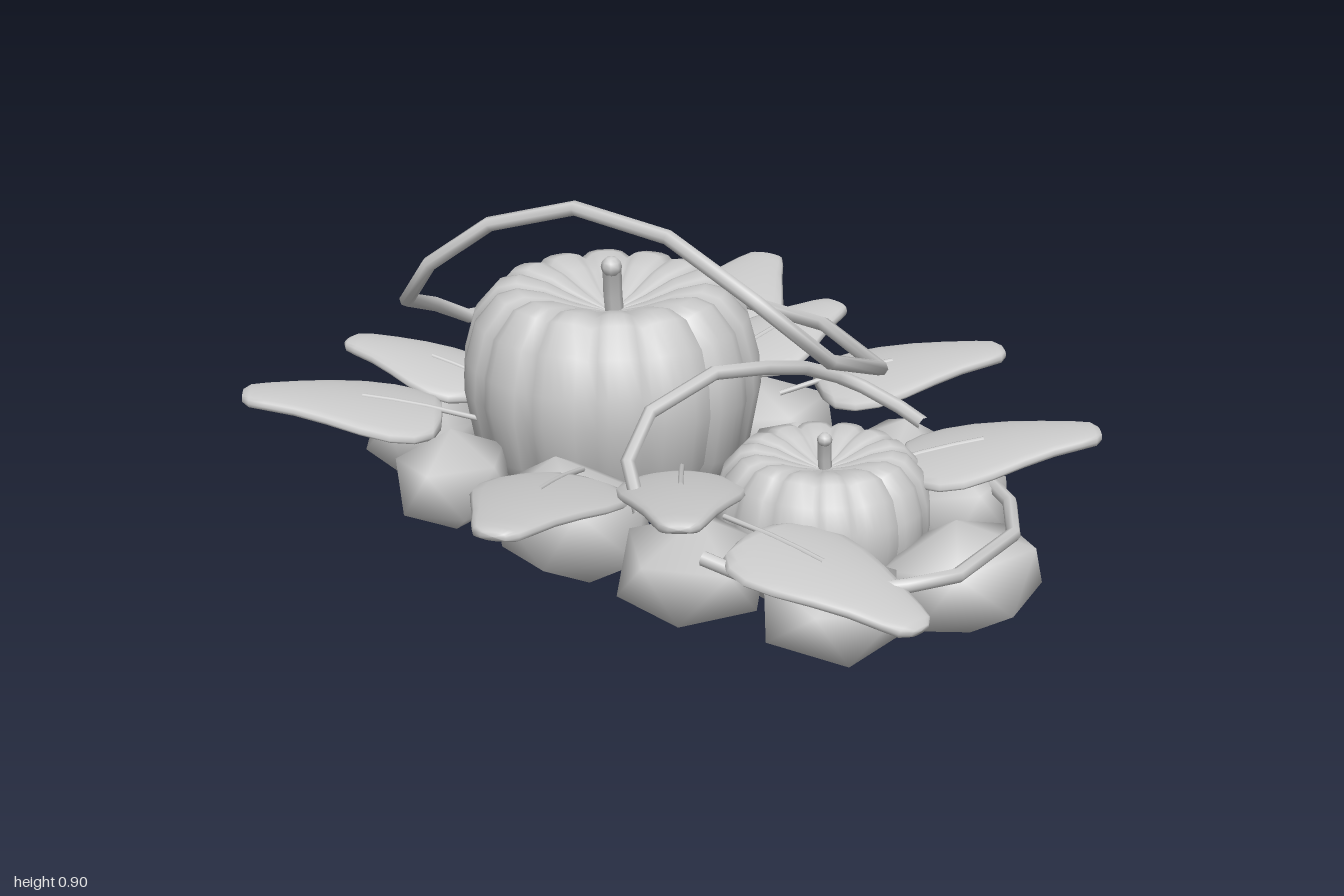
import * as THREE from 'three';
import { mergeVertices } from 'three/addons/utils/BufferGeometryUtils.js';

const mat = new THREE.MeshStandardMaterial({ color: 0xcccccc });
const V = (p) => new THREE.Vector3(...p);

function add(parent, name, geometry) {
  const mesh = new THREE.Mesh(geometry, mat);
  mesh.name = name;
  parent.add(mesh);
  return mesh;
}

// Tube with one straight span between each pair of points
function tube(points, radius, closed = false) {
  const curve = new THREE.CatmullRomCurve3(points.map(V), closed, 'catmullrom', 0.5);
  curve.getUtoTmapping = (u) => u;
  return new THREE.TubeGeometry(curve, points.length - (closed ? 0 : 1), radius, 7, closed);
}

// Ribbed pumpkin: a lathe whose radius and crown are pinched at each groove
function pumpkin(name, ribs) {
  const group = new THREE.Group();
  group.name = name;
  const profile = [[0, 0.09], [0.07, 0.065], [0.16, 0.045], [0.28, 0.1], [0.355, 0.21], [0.38, 0.35],
    [0.375, 0.43], [0.348, 0.53], [0.29, 0.598], [0.24, 0.61], [0.17, 0.595], [0.09, 0.56], [0, 0.53]];
  const geo = new THREE.LatheGeometry(profile.map(([r, y]) => new THREE.Vector2(r, y)), ribs * 6);
  const p = geo.attributes.position;
  for (let i = 0; i < p.count; i++) {
    const x = p.getX(i), y = p.getY(i), z = p.getZ(i);
    const r = Math.hypot(x, z);
    const groove = Math.pow(1 - Math.abs(Math.sin(Math.atan2(x, z) * ribs / 2)), 2);
    const k = 1 - 0.035 * groove;
    const h = (y - 0.33) / 0.27;
    const crown = 0.016 * groove * h * Math.min(1, r / 0.15);
    p.setXYZ(i, x * k, y - crown, z * k);
  }
  geo.computeVertexNormals();
  add(group, 'pumpkinBody', geo);
  // Stem leans to one side, with a rounded end
  add(group, 'pumpkinStem', tube([[0.01, 0.52, 0], [0, 0.58, 0.005], [-0.01, 0.63, 0.015], [-0.02, 0.665, 0.025]], 0.025));
  const tip = add(group, 'stemTip', new THREE.SphereGeometry(0.027, 8, 6));
  tip.position.set(-0.02, 0.662, 0.025);
  return group;
}

// Smooth-shaded icosahedral rock standing on a corner, slightly tilted
function rockGeometry(seed) {
  let geo = new THREE.IcosahedronGeometry(1, 0);
  geo.deleteAttribute('normal');
  geo.deleteAttribute('uv');
  geo = mergeVertices(geo, 1e-3);
  geo.rotateZ(Math.atan(2 / (1 + Math.sqrt(5))));
  geo.rotateY(seed * 2.1);
  geo.rotateX(0.25 * Math.sin(seed * 1.7));
  geo.scale(1.1, 1.02, 1.1);
  geo.computeVertexNormals();
  return geo;
}

// Broad leaf, base at the origin and tip along +z: a lathe squashed flat, then
// bent so that its base and sides droop
function leaf(tip, base, width) {
  const group = new THREE.Group();
  group.name = 'leaf';
  const d = V(tip).sub(V(base)), L = d.length(), w = width / 2;
  const bend = (x, t) => -0.065 * (1 - t) ** 2 - 0.02 * (x / w) ** 2;
  const outline = [[0, 0], [0.4, 0.005], [0.74, 0.04], [0.95, 0.13], [1.02, 0.25], [0.94, 0.4], [0.75, 0.57],
    [0.56, 0.73], [0.41, 0.88], [0.31, 0.96], [0.17, 0.995], [0, 1]];
  const geo = new THREE.LatheGeometry(outline.map(([r, t]) => new THREE.Vector2(r * w, t * L)), 20);
  geo.rotateX(Math.PI / 2);
  const p = geo.attributes.position;
  for (let i = 0; i < p.count; i++) {
    const x = p.getX(i), y = p.getY(i), z = p.getZ(i);
    const r = Math.hypot(x, y) || 1;
    const flat = Math.sign(y) * Math.sqrt(Math.abs(y) / r) * 0.017 * Math.min(1, r / 0.05);
    p.setY(i, flat + bend(x, z / L));
  }
  geo.computeVertexNormals();
  add(group, 'leafBlade', geo);
  const stalk = [0.4, 0.25, 0.08, -0.2].map((t) => [0, 0.016 + bend(0, t), t * L]);
  add(group, 'leafStalk', tube(stalk, 0.007));
  group.position.copy(V(base));
  group.rotation.order = 'YXZ';
  group.rotation.y = Math.atan2(d.x, d.z);
  group.rotation.x = -Math.asin(d.y / L);
  return group;
}

export function createModel() {
  const model = new THREE.Group();
  model.name = 'pumpkinPatch';

  // Pumpkins
  const big = pumpkin('largePumpkin', 14);
  big.position.set(-0.01, 0, -0.36);
  const small = pumpkin('smallPumpkin', 14);
  small.position.set(0, -0.02, 0.39);
  small.scale.set(0.69, 0.65, 0.69);
  model.add(big, small);

  // Ring of rocks: centre, then half sizes
  const rocks = [
    [-0.02, 0.16, -0.8, 0.22, 0.145, 0.2], [0.33, 0.21, -0.72, 0.145, 0.13, 0.145],
    [0.41, 0.19, -0.55, 0.14, 0.14, 0.13], [0.37, 0.15, -0.22, 0.2, 0.145, 0.225],
    [0.2, 0.16, 0.08, 0.14, 0.145, 0.14], [0.37, 0.18, 0.29, 0.14, 0.155, 0.14],
    [0.27, 0.2, 0.57, 0.14, 0.13, 0.14], [0.1, 0.135, 0.76, 0.22, 0.135, 0.165],
    [-0.25, 0.14, 0.67, 0.17, 0.135, 0.18], [-0.39, 0.17, 0.35, 0.18, 0.14, 0.175],
    [-0.39, 0.16, -0.08, 0.175, 0.15, 0.23], [-0.5, 0.2, -0.4, 0.15, 0.13, 0.135],
    [-0.33, 0.19, -0.72, 0.155, 0.14, 0.145],
  ];
  rocks.forEach(([x, y, z, sx, sy, sz], i) => {
    const rock = add(model, 'rock', rockGeometry(i));
    rock.position.set(x, y, z);
    rock.scale.set(sx, sy, sz);
  });

  // Leaves: tip, base, width
  const T = 0.372, B = 0.372;
  const leaves = [
    [[-0.8, T, -0.86], [-0.42, B, -0.54], 0.36], [[-0.37, T, -0.99], [-0.2, B, -0.62], 0.29],
    [[0.9, T, -0.73], [0.45, B, -0.52], 0.34], [[0.76, T, -0.31], [0.36, B, -0.32], 0.31],
    [[0.82, T, 0.23], [0.41, B, -0.04], 0.36], [[0.57, T, 0.77], [0.2, B, 0.47], 0.35],
    [[-0.29, 0.2, 0.99], [-0.32, 0.345, 0.51], 0.35], [[-0.57, T, 0.5], [-0.25, B, 0.16], 0.31],
    [[-0.9, T, 0.24], [-0.46, B, -0.01], 0.37],
  ];
  leaves.forEach((args) => model.add(leaf(...args)));

  // Vines
  add(model, 'tallVineLoop', tube([
    [0.55, 0.41, -0.16], [0.35, 0.45, 0.24], [0.01, 0.6, 0.4], [-0.14, 0.76, 0.3], [-0.17, 0.86, 0.03],
    [-0.235, 0.885, -0.235], [-0.36, 0.83, -0.41], [-0.455, 0.72, -0.53], [-0.45, 0.6, -0.63],
    [-0.3, 0.53, -0.71], [-0.14, 0.44, -0.78], [0.22, 0.415, -0.77], [0.51, 0.41, -0.56],
  ], 0.019, true));
  add(model, 'middleVine', tube([
    [-0.455, 0.3, 0.24], [-0.43, 0.4, 0.17], [-0.33, 0.49, 0.14], [-0.15, 0.55, 0.17], [0, 0.53, 0.19],
    [0.14, 0.49, 0.18], [0.27, 0.43, 0.165], [0.32, 0.4, 0.21], [0.36, 0.36, 0.3], [0.36, 0.34, 0.38],
  ], 0.018));
  add(model, 'frontVine', tube([
    [-0.48, 0.27, 0.48], [-0.43, 0.24, 0.59], [-0.32, 0.22, 0.75], [-0.2, 0.24, 0.86], [-0.09, 0.25, 0.915],
    [0.165, 0.255, 0.855], [0.28, 0.265, 0.74], [0.32, 0.27, 0.65],
  ], 0.018));

  return model;
}
